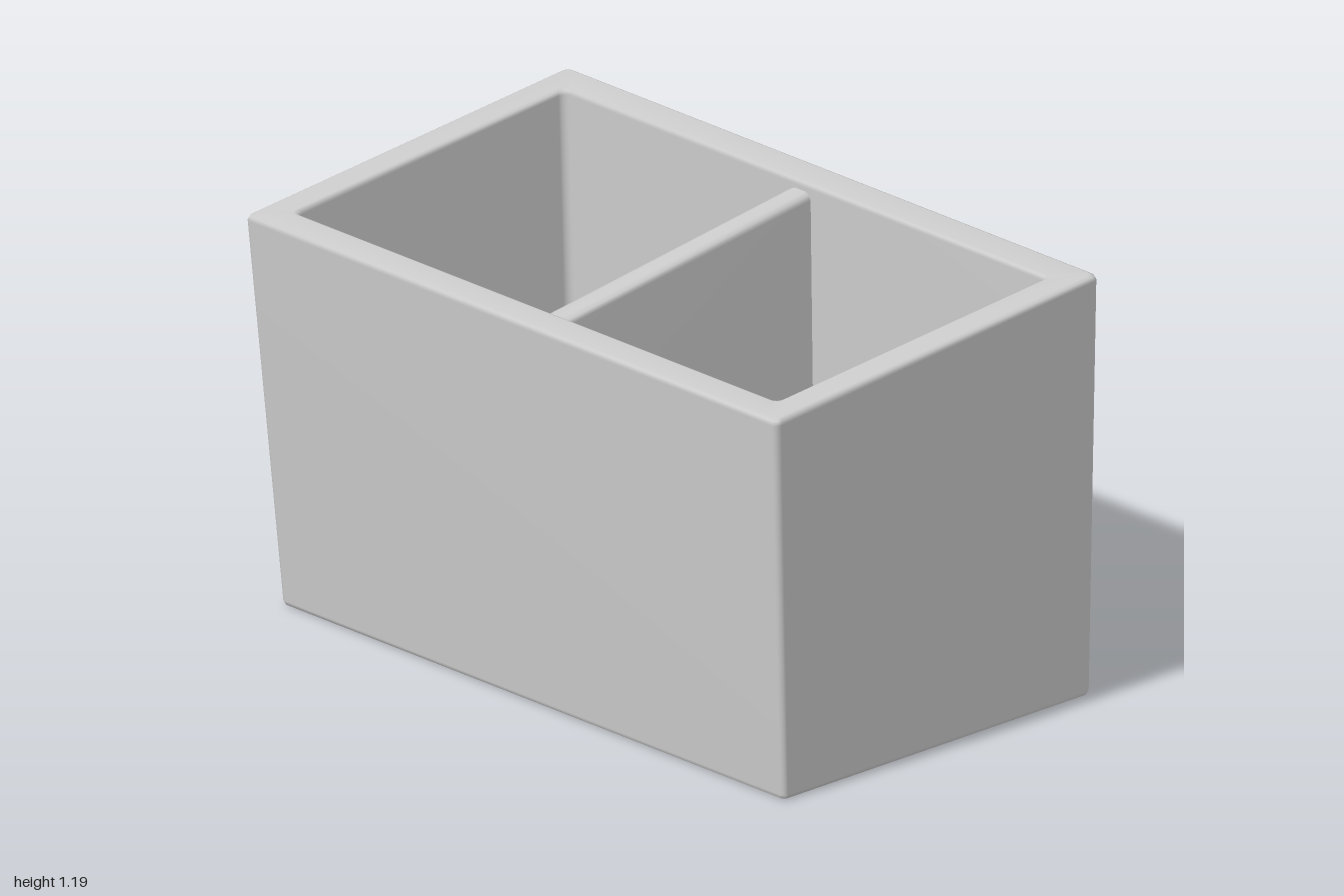
import * as THREE from 'three';

const SLOPE = 0.089;                     // the rim rises towards +x
const rimY = (x) => 1.14 + SLOPE * x;

// Rounded rectangle in plan; x1 is given at the front and the back edge
function ring(x0, x1Front, x1Back, z, r, yAt) {
  const pts = [];
  const corners = [[x1Front, z, -1, -1], [x0, z, 1, -1], [x0, -z, 1, 1], [x1Back, -z, -1, 1]];
  corners.forEach(([x, cz, sx, sz], q) => {
    for (let i = 0; i <= 4; i++) {
      const a = (q + i / 4) * Math.PI / 2;
      const px = x + sx * r + r * Math.cos(a);
      pts.push(new THREE.Vector3(px, yAt(px), cz + sz * r + r * Math.sin(a)));
    }
  });
  return pts;
}

// Skin a list of equal-length cross-sections
function loft(rings, closed) {
  const n = rings[0].length;
  const index = [];
  for (let i = 0; i < rings.length - 1; i++) {
    for (let j = 0; j < (closed ? n : n - 1); j++) {
      const a = i * n + j, b = i * n + (j + 1) % n;
      index.push(a, a + n, b + n, a, b + n, b);
    }
  }
  const geometry = new THREE.BufferGeometry().setFromPoints(rings.flat());
  geometry.setIndex(index);
  geometry.computeVertexNormals();
  return geometry;
}

export function createModel() {
  const group = new THREE.Group();
  const material = new THREE.MeshStandardMaterial({ color: 0xcccccc, side: THREE.DoubleSide });
  const add = (name, geometry) => {
    const mesh = new THREE.Mesh(geometry, material);
    mesh.name = name;
    group.add(mesh);
  };
  const flat = (y) => () => y;
  const below = (d) => (x) => rimY(x) - d;
  const outer = (d, drop) => ring(-0.583 + d, 0.56 - d, 0.56 - d, 1 - d, 0.018, below(drop));
  const inner = (d, drop) => ring(-0.49 - d, 0.46 + d, 0.46 + d, 0.905 + d, 0.022, below(drop));

  // Tapered outer walls, rolled rim and hanging inner walls, open underneath
  add('planterShell', loft([
    ring(-0.495, 0.57, 0.553, 0.935, 0.015, flat(0)),
    ring(-0.502, 0.577, 0.56, 0.942, 0.015, flat(0.003)),
    ring(-0.506, 0.582, 0.564, 0.946, 0.015, flat(0.014)),
    outer(0, 0.016), outer(0.004, 0.005), outer(0.014, 0),
    inner(0.012, 0), inner(0.003, 0.004), inner(0, 0.014),
    ring(-0.433, 0.47, 0.47, 0.893, 0.022, below(0.69)),
  ], true));

  // Divider: an upright panel with a rounded top, its ends following the walls
  const profile = [[0.02, 0], [0.02, 0.97], [0.014, 0.99], [0, 1], [-0.04, 1], [-0.054, 0.99], [-0.06, 0.97], [-0.06, 0]];
  const section = (xTop, xBottom, yTop, yBottom) => profile.map(([z, t]) => new THREE.Vector3(
    THREE.MathUtils.lerp(xBottom, xTop, t), THREE.MathUtils.lerp(yBottom, yTop, t), z));
  add('divider', loft([
    section(-0.486, -0.436, rimY(-0.486) - 0.07, 0.47),
    section(0.463, 0.47, rimY(0.463) - 0.025, 0.51),
  ], false));

  return group;
}
